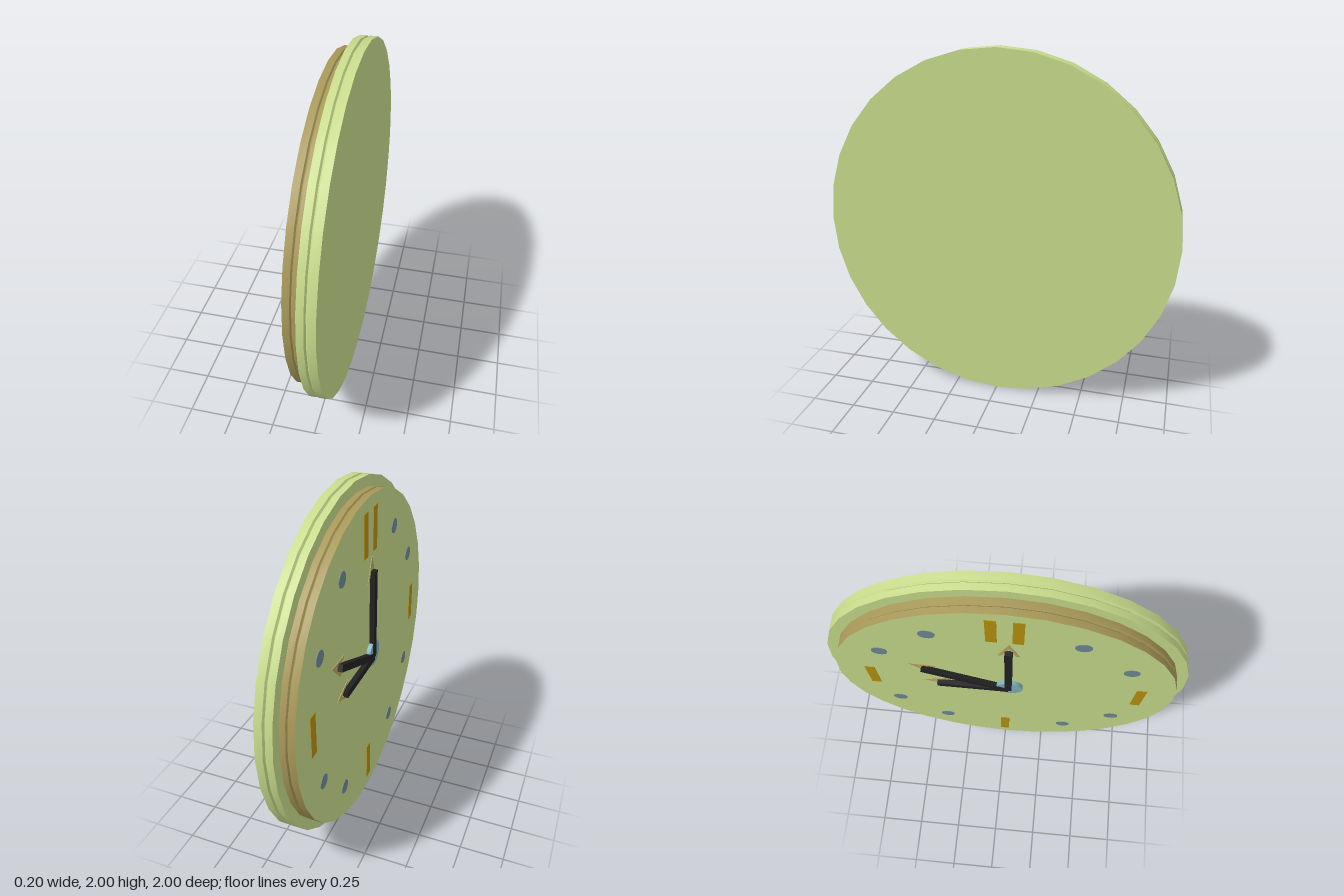
import * as THREE from 'three';
import { toCreasedNormals } from 'three/addons/utils/BufferGeometryUtils.js';

const SIDES = 32;
const FACE = 0.077; // height of the dial surface

const colours = {
  green: 0xc8dc8c, tan: 0xa89858, amber: 0xb8920f,
  blue: 0x6f8b95, teal: 0x7fb0bc, black: 0x222222, gold: 0xb8a860,
};
const mats = {};
for (const [key, color] of Object.entries(colours)) {
  mats[key] = new THREE.MeshStandardMaterial({ color });
}

function add(parent, name, geometry, mat, x = 0, y = 0, z = 0) {
  const mesh = new THREE.Mesh(geometry, mats[mat]);
  mesh.name = name;
  mesh.position.set(x, y, z);
  parent.add(mesh);
  return mesh;
}

// Turned disc or band around the z axis, from [radius, z] pairs
function turned(points) {
  const g = new THREE.LatheGeometry(points.map(([r, z]) => new THREE.Vector2(r, z)), SIDES);
  g.rotateX(Math.PI / 2);
  return toCreasedNormals(g, 0.3);
}

// Short round button standing on the dial
function button(radius, depth) {
  const g = new THREE.CylinderGeometry(radius, radius, depth, 24);
  g.rotateX(Math.PI / 2);
  return g;
}

// Hand with a hollow arrowhead lying on the dial behind its tip
function makeHand(name, length, angle) {
  const hand = new THREE.Group();
  hand.name = name;
  add(hand, 'handBar', new THREE.BoxGeometry(0.04, length, 0.028), 'black', 0, length / 2, 0.091);

  const w = 0.055, base = -0.06, tip = 0.08, t = 0.018;
  const arrow = new THREE.Shape([
    [0, tip], [-w, base], [-w + t, base], [0, tip - 0.05], [w - t, base], [w, base],
  ].map(([x, y]) => new THREE.Vector2(x, y)));
  const head = new THREE.ExtrudeGeometry(arrow, { depth: 0.006, bevelEnabled: false });
  add(hand, 'arrowHead', head, 'gold', 0, length, FACE - 0.002);

  hand.position.x = 0.02;
  hand.rotation.z = angle;
  return hand;
}

export function createModel() {
  const model = new THREE.Group();
  model.name = 'wallClock';

  // Built facing +z, then turned so the dial faces -x
  const clock = new THREE.Group();
  clock.name = 'clock';
  clock.rotation.y = -Math.PI / 2;
  clock.position.y = 1;
  model.add(clock);

  // Back disc with a fine groove round its edge
  add(clock, 'backDisc', turned([
    [0, -0.1], [1, -0.1], [1, -0.058], [0.99, -0.05], [1, -0.042], [1, -0.005], [0, -0.005],
  ]), 'green');

  // Dial: tan edge band and green face
  add(clock, 'dialEdge', turned([
    [0.94, -0.006], [0.94, 0.027], [0.932, 0.034], [0.94, 0.041], [0.94, FACE],
  ]), 'tan');
  add(clock, 'dialFace', new THREE.CircleGeometry(0.94, SIDES), 'green', 0, 0, FACE);

  // Hour marks: amber batons at the quarters (a pair at the top), blue dots between
  const baton = new THREE.BoxGeometry(0.055, 0.24, 0.006);
  const dot = button(0.042, 0.006);
  for (let hour = 0; hour < 12; hour++) {
    const a = hour * Math.PI / 6;
    const x = 0.75 * Math.sin(a), y = 0.75 * Math.cos(a);
    if (hour % 3) add(clock, 'hourDot', dot, 'blue', x, y, FACE);
    else {
      for (const dx of hour === 0 ? [-0.065, 0.065] : [0]) {
        add(clock, 'quarterMark', baton, 'amber', x + dx, y, FACE);
      }
    }
  }

  // Hub and three hands
  add(clock, 'hub', button(0.075, 0.024), 'teal', 0.025, 0.025, 0.088);
  clock.add(makeHand('longHand', 0.53, 0));
  clock.add(makeHand('middleHand', 0.51, Math.atan2(0.46, 0.2)));
  clock.add(makeHand('shortHand', 0.4, Math.PI / 2));

  return model;
}
